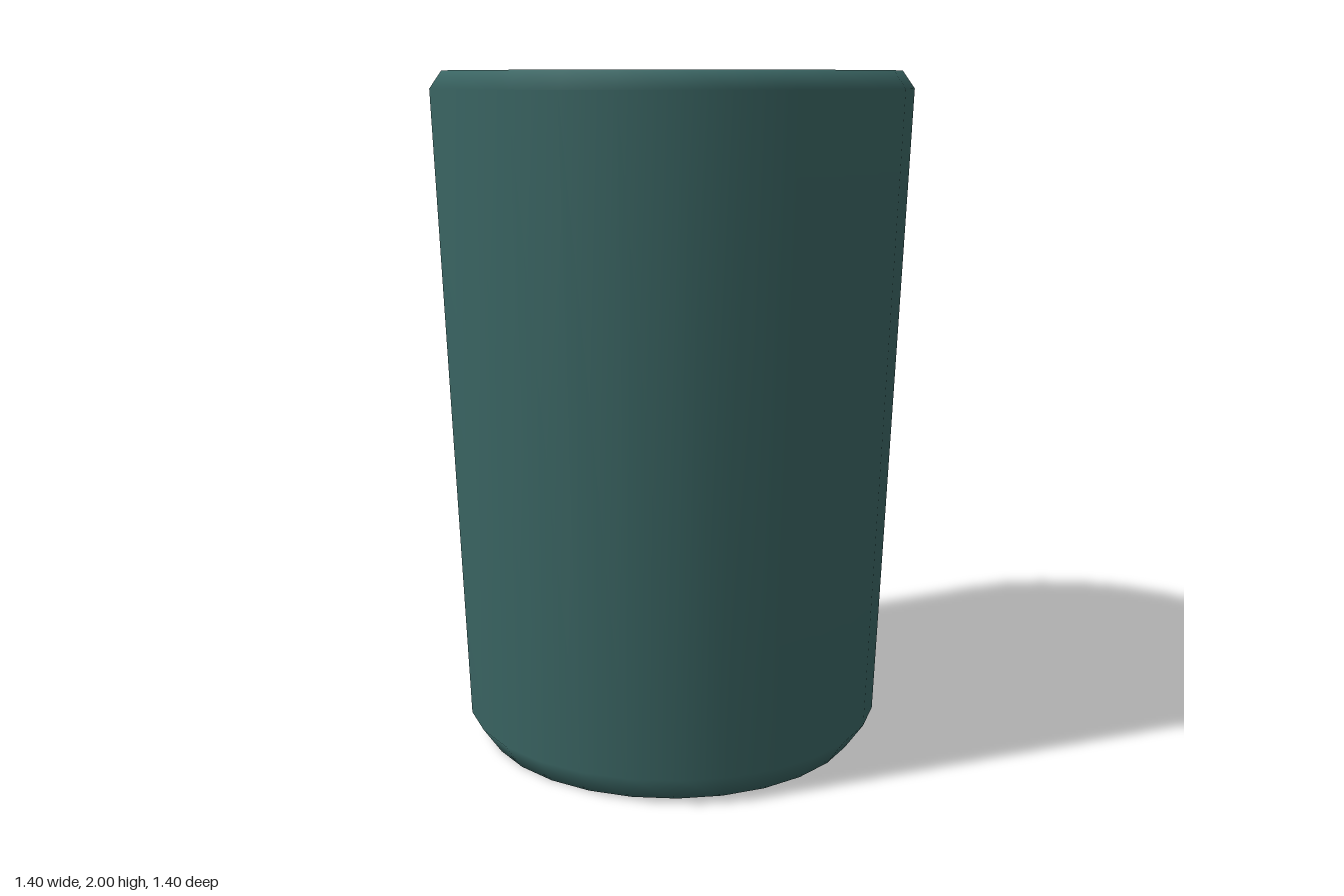
import * as THREE from 'three';

export function createModel() {
  const group = new THREE.Group();
  group.name = 'tumbler';

  // One closed profile: underside, tapered outer wall, bevelled rim, straight inner wall, floor
  const profile = [
    [0, 0], [0.575, 0], [0.63, 0.08],
    [0.7, 1.95], [0.665, 2],
    [0.625, 2], [0.59, 1.955],
    [0.59, 0.1], [0, 0.1],
  ].map(([r, y]) => new THREE.Vector2(r, y));

  const cup = new THREE.Mesh(
    new THREE.LatheGeometry(profile, 28),
    new THREE.MeshStandardMaterial({ color: 0x3a6563 })
  );
  cup.name = 'cup';
  group.add(cup);
  return group;
}
